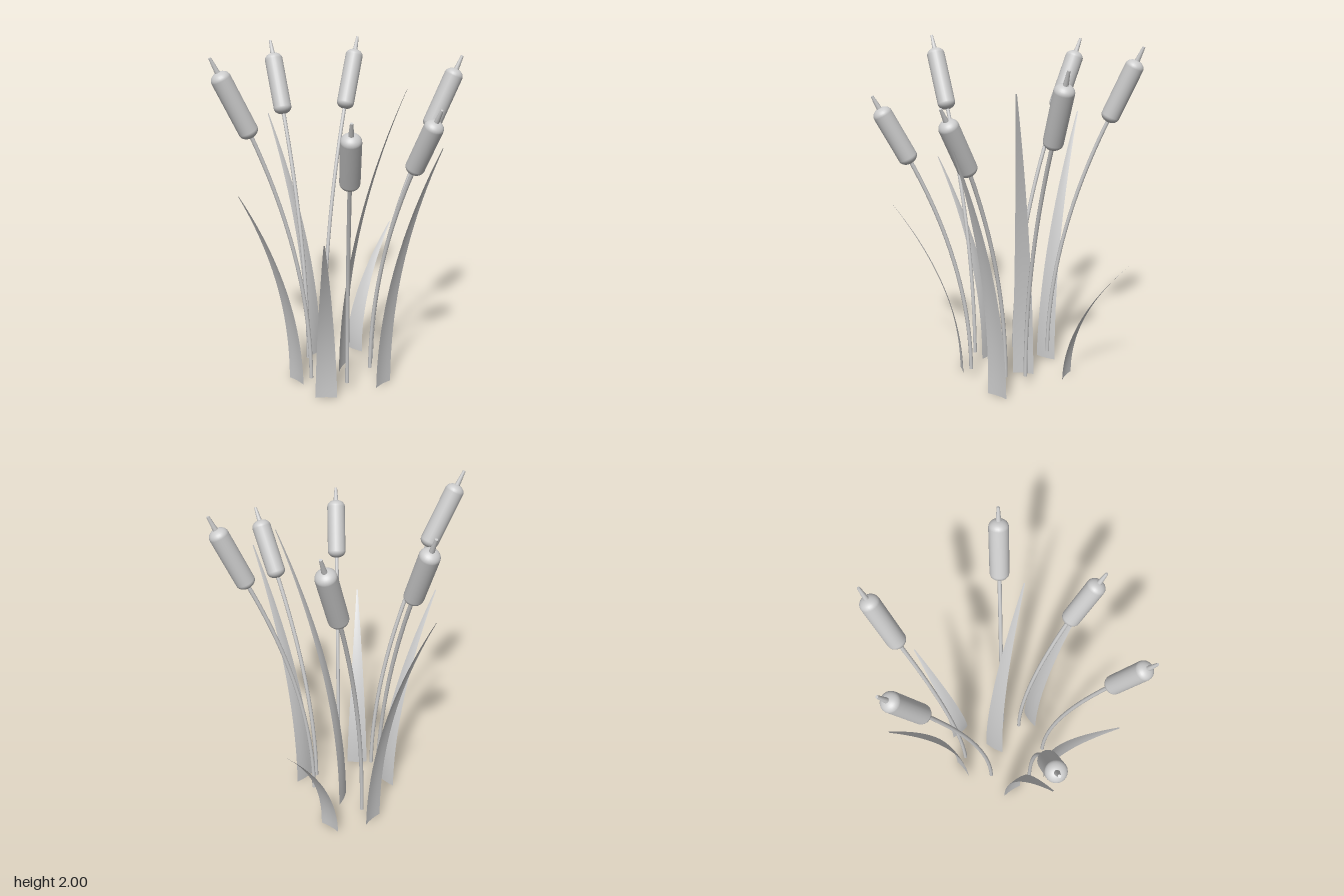
import * as THREE from 'three';

const mat = new THREE.MeshStandardMaterial({ color: 0xcccccc, roughness: 0.8 });
const leafMat = new THREE.MeshStandardMaterial({ color: 0xcccccc, roughness: 0.8, side: THREE.DoubleSide });
const UP = new THREE.Vector3(0, 1, 0);
const HEAD_R = 0.054;

// base of stalk, bottom of seed head, tip of spike
const REEDS = [
  [[0.2, 0.08, -0.05], [0.525, 1.53, -0.05], [0.705, 1.945, -0.05]],
  [[-0.055, 0.08, -0.305], [0.125, 1.56, -0.578], [0.237, 1.985, -0.727]],
  [[-0.005, 0.08, 0.22], [-0.055, 1.375, 0.535], [-0.085, 1.75, 0.73]],
  [[0.167, 0.08, 0.063], [0.33, 1.38, 0.325], [0.425, 1.75, 0.505]],
  [[-0.205, 0.08, 0.125], [-0.515, 1.575, 0.176], [-0.715, 2.0, 0.207]],
  [[-0.185, 0.08, -0.13], [-0.273, 1.57, -0.435], [-0.325, 1.987, -0.615]],
];

// middle of leaf foot, leaf tip
const LEAVES = [
  [[-0.28, 0, 0.01], [-0.6, 1.265, 0.22]],
  [[0.027, 0, -0.107], [0.355, 1.79, 0.078]],
  [[-0.122, 0, -0.325], [-0.35, 1.54, -0.62]],
  [[-0.133, 0, 0.238], [-0.2, 1.1, 0.613]],
  [[0.15, 0, -0.345], [0.435, 0.79, -0.592]],
  [[0.234, 0, 0.142], [0.455, 1.54, 0.453]],
];

function addMesh(parent, geometry, name, material = mat) {
  const mesh = new THREE.Mesh(geometry, material);
  mesh.name = name;
  parent.add(mesh);
  return mesh;
}

// seed head with softly rounded ends, standing on its own origin
function headGeometry(length) {
  const cap = 0.04, steps = 8, points = [];
  for (let i = 0; i <= steps; i++) {
    const a = (i / steps) * Math.PI / 2;
    points.push(new THREE.Vector2(HEAD_R * Math.sin(a), cap * (1 - Math.cos(a))));
  }
  for (let i = steps; i >= 0; i--) {
    points.push(new THREE.Vector2(points[i].x, length - points[i].y));
  }
  return new THREE.LatheGeometry(points, 24);
}

function createReed([base, bottom, tip]) {
  const reed = new THREE.Group();
  reed.name = 'reed';
  const a = new THREE.Vector3(...base);
  const b = new THREE.Vector3(...bottom);
  const c = new THREE.Vector3(...tip);

  // stalk rises straight, then bends outward
  const bend = new THREE.Vector3(a.x, (a.y + b.y) / 2, a.z);
  const curve = new THREE.QuadraticBezierCurve3(a, bend, b);
  addMesh(reed, new THREE.TubeGeometry(curve, 24, 0.0115, 10), 'stalk');
  const foot = addMesh(reed, new THREE.CircleGeometry(0.0115, 10), 'stalkEnd');
  foot.rotation.x = Math.PI / 2;
  foot.position.copy(a);

  // head and spike follow the stalk's final direction
  const top = new THREE.Group();
  top.name = 'flower';
  top.position.copy(b);
  top.quaternion.setFromUnitVectors(UP, c.clone().sub(b).normalize());
  const total = b.distanceTo(c);
  const headLength = total * 0.825;
  addMesh(top, headGeometry(headLength), 'seedHead');
  const spikeLength = total - headLength + 0.02;
  const spike = addMesh(top, new THREE.CylinderGeometry(0.008, 0.016, spikeLength, 10), 'spike');
  spike.position.y = total - spikeLength / 2;
  reed.add(top);
  return reed;
}

// tapering blade, bent along a parabola and slightly cupped
function leafGeometry([base, tip]) {
  const geometry = new THREE.PlaneGeometry(1, 1, 4, 20);
  const a = new THREE.Vector3(...base);
  const b = new THREE.Vector3(...tip);
  const out = new THREE.Vector3(b.x - a.x, 0, b.z - a.z);
  const reach = out.length();
  out.normalize();
  const side = new THREE.Vector3().crossVectors(UP, out);
  const pos = geometry.attributes.position;
  const p = new THREE.Vector3();
  for (let i = 0; i < pos.count; i++) {
    const u = pos.getX(i) * 2, t = pos.getY(i) + 0.5;
    const half = 0.064 * (1 - 0.94 * Math.pow(t, 1.4));
    p.copy(a)
      .addScaledVector(out, reach * t * t - 0.1 * half * (1 - u * u))
      .addScaledVector(side, half * u);
    p.y = b.y * t;
    pos.setXYZ(i, p.x, p.y, p.z);
  }
  geometry.computeVertexNormals();
  return geometry;
}

export function createModel() {
  const model = new THREE.Group();
  model.name = 'reedClump';
  for (const reed of REEDS) model.add(createReed(reed));
  for (const leaf of LEAVES) addMesh(model, leafGeometry(leaf), 'leaf', leafMat);
  return model;
}
